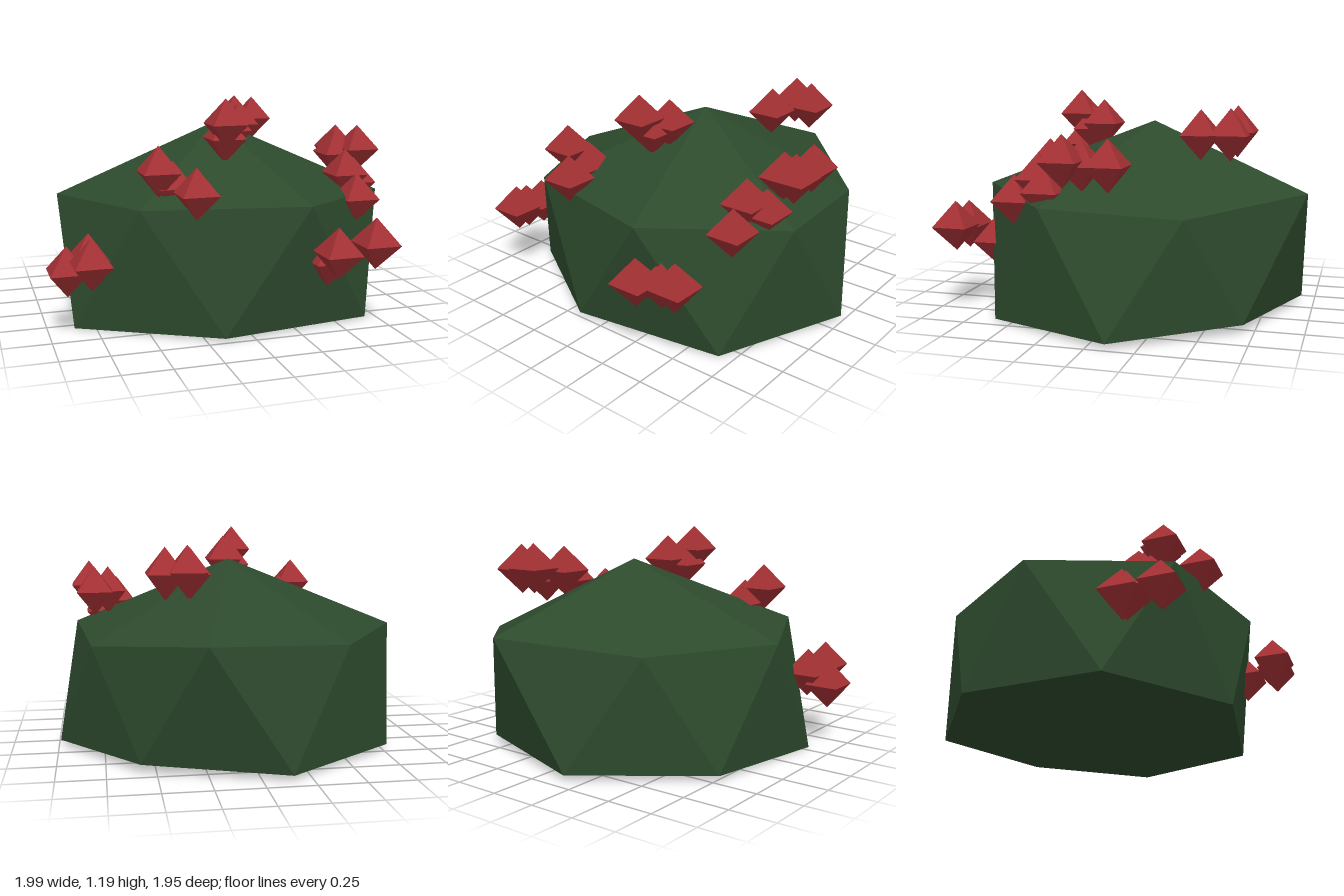
import * as THREE from 'three';

const leafGreen = new THREE.MeshStandardMaterial({ color: 0x2d4a2d });
const berryRed = new THREE.MeshStandardMaterial({ color: 0xa33033 });
leafGreen.name = 'leaf green';
berryRed.name = 'berry red';

// Faceted dome: two staggered rings of seven points, a peak and a base centre
function domeGeometry() {
  const peak = [0.05, 1.03, -0.11];
  const baseCentre = [0.05, 0.02, -0.08];
  const upper = [
    [0.28, 0.68, 0.78], [0.89, 0.65, 0.27], [0.81, 0.61, -0.44], [0.27, 0.68, -0.98],
    [-0.48, 0.63, -0.72], [-0.88, 0.65, -0.11], [-0.56, 0.67, 0.58],
  ];
  const lower = [
    [0.68, 0.01, 0.60], [0.99, 0.03, -0.10], [0.58, 0.05, -0.70], [-0.15, 0.03, -0.93],
    [-0.77, 0.03, -0.47], [-0.86, 0.0, 0.30], [-0.16, 0.02, 0.74],
  ];
  const corners = [];
  for (let i = 0; i < 7; i++) {
    const j = (i + 1) % 7;
    corners.push(peak, upper[i], upper[j]);
    corners.push(upper[i], lower[i], upper[j]);
    corners.push(lower[i], lower[j], upper[j]);
    corners.push(baseCentre, lower[j], lower[i]);
  }
  const geometry = new THREE.BufferGeometry();
  geometry.setAttribute('position', new THREE.Float32BufferAttribute(corners.flat(), 3));
  geometry.computeVertexNormals(); // unshared corners give flat facets
  return geometry;
}

// Berry centres, three to a cluster
const clusters = {
  backBerries: [[0.33, 1.0, -0.62], [0.44, 0.99, -0.6], [0.295, 0.975, -0.42]],
  leftBerries: [[0.785, 0.855, -0.06], [0.71, 0.845, 0.1], [0.815, 0.875, 0.165]],
  leftFrontBerries: [[0.655, 0.765, 0.35], [0.735, 0.71, 0.29], [0.665, 0.65, 0.48]],
  frontBerries: [[0.38, 0.455, 0.88], [0.6, 0.485, 0.85], [0.4, 0.375, 0.71]],
  rightFrontBerries: [[-0.44, 0.845, 0.49], [-0.35, 0.755, 0.43], [-0.285, 0.75, 0.645]],
  topBerries: [[0.035, 1.01, 0.19], [-0.04, 1.06, 0.35], [-0.02, 0.975, 0.27]],
  rightBerries: [[-0.905, 0.345, 0.42], [-0.805, 0.415, 0.58], [-0.79, 0.4, 0.4]],
};

export function createModel() {
  const model = new THREE.Group();
  model.name = 'berryBush';

  const dome = new THREE.Mesh(domeGeometry(), leafGreen);
  dome.name = 'foliage';
  model.add(dome);

  // Eight-sided berries, turned square to the axes
  const berryGeometry = new THREE.OctahedronGeometry(0.134).rotateY(Math.PI / 4);
  for (const [name, centres] of Object.entries(clusters)) {
    const cluster = new THREE.Group();
    cluster.name = name;
    for (const centre of centres) {
      const berry = new THREE.Mesh(berryGeometry, berryRed);
      berry.name = 'berry';
      berry.position.set(...centre);
      cluster.add(berry);
    }
    model.add(cluster);
  }
  return model;
}
